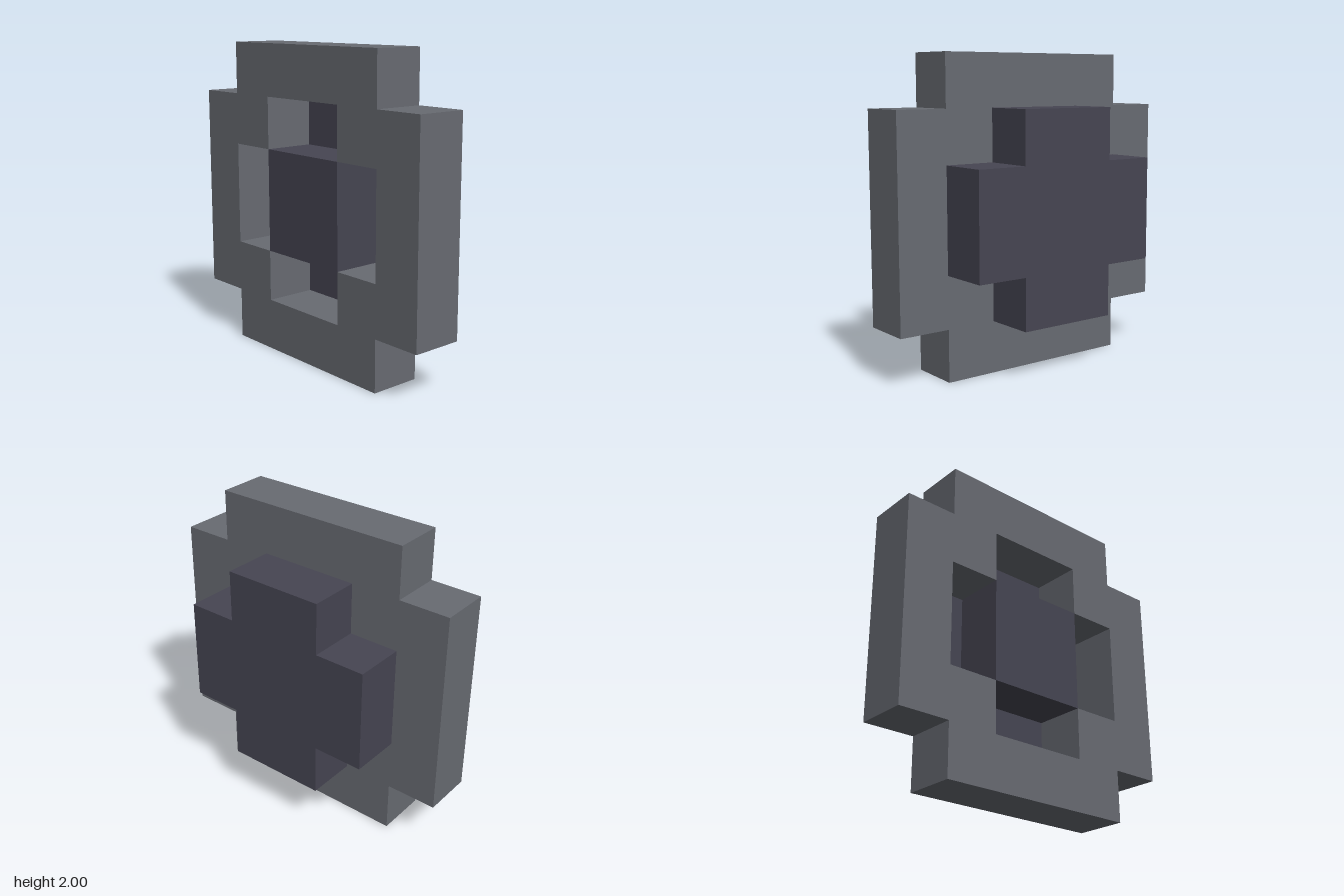
import * as THREE from 'three';

const U = 1 / 3; // the model sits on a grid of one-third units

// Square outline of half-size h (in grid units) with one-unit corners cut away
function notchedOutline(h) {
  const k = h - 1;
  return [
    [-k, -h], [k, -h], [k, -k], [h, -k], [h, k], [k, k],
    [k, h], [-k, h], [-k, k], [-h, k], [-h, -k], [-k, -k],
  ].map(([x, y]) => new THREE.Vector2(x * U, y * U));
}

function extrude(shape) {
  return new THREE.ExtrudeGeometry(shape, { depth: U, bevelEnabled: false });
}

export function createModel() {
  const grey = new THREE.MeshStandardMaterial({ color: 0x686b72 });
  grey.name = 'mid grey';
  const dark = new THREE.MeshStandardMaterial({ color: 0x464552 });
  dark.name = 'dark slate';

  const model = new THREE.Group();
  model.name = 'steppedFrame';
  function add(name, geometry, material, z) {
    const mesh = new THREE.Mesh(geometry, material);
    mesh.name = name;
    mesh.position.set(0, 1, z);
    model.add(mesh);
  }

  // Front rim with a cross-shaped opening
  const rim = new THREE.Shape(notchedOutline(3));
  rim.holes.push(new THREE.Path(notchedOutline(2).reverse()));
  add('rim', extrude(rim), grey, 0);

  // Cross-shaped back that closes the opening
  add('back', extrude(new THREE.Shape(notchedOutline(2))), dark, -U);

  // Central block, flush with the front of the rim
  add('centreBlock', new THREE.BoxGeometry(2 * U, 2 * U, U), dark, U / 2);

  return model;
}
